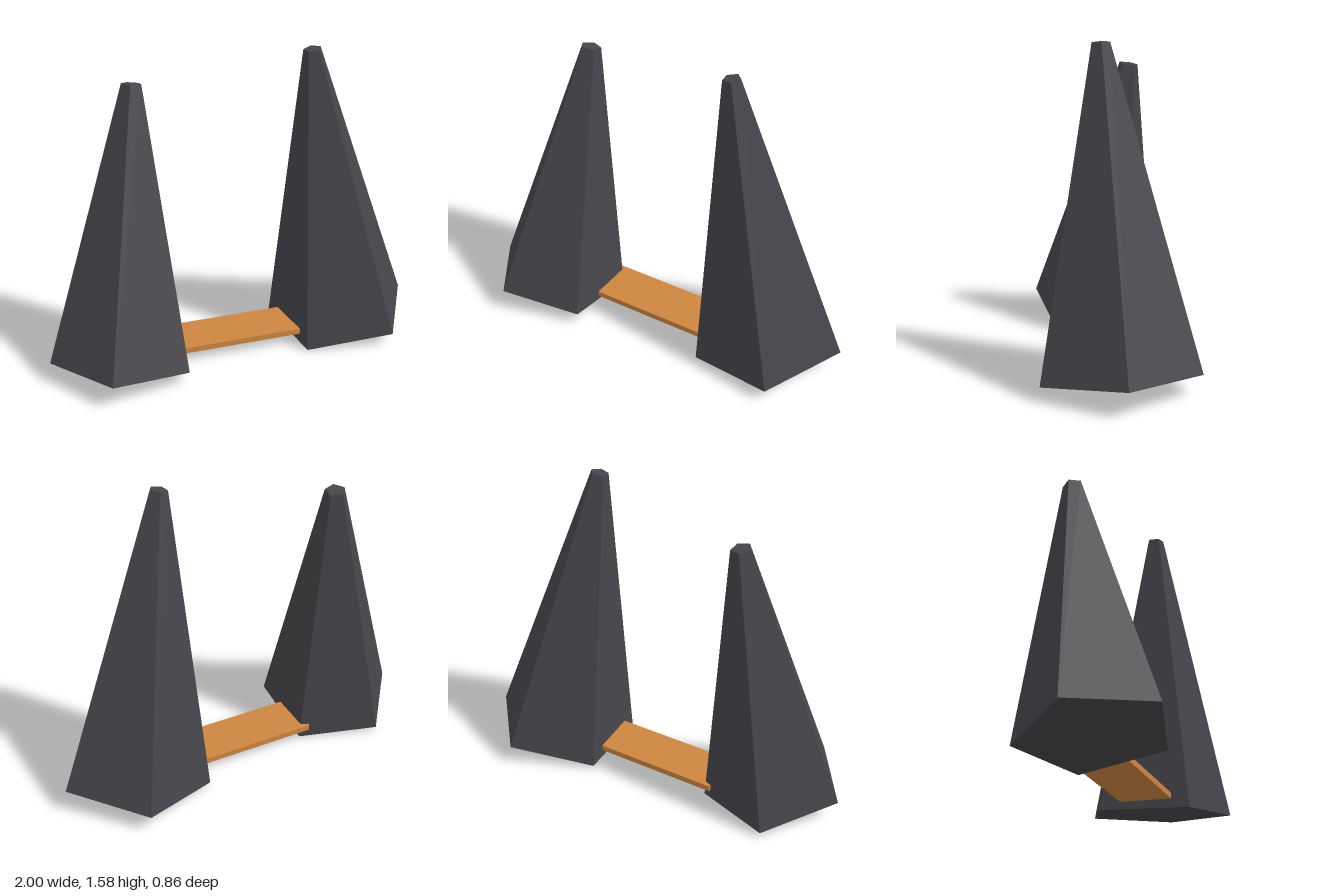
import * as THREE from 'three';

// Five-sided leaning spire: base corners (counter-clockwise from above) shrink towards the tip centre
function spireGeometry(corners, tip, scale) {
  const base = corners.map((c) => new THREE.Vector3(...c));
  const centre = new THREE.Vector3();
  base.forEach((p) => centre.addScaledVector(p, 1 / base.length));
  const top = base.map((p) => p.clone().sub(centre).multiplyScalar(scale).add(new THREE.Vector3(...tip)));
  const n = base.length;
  const points = [];
  for (let i = 0; i < n; i++) {
    const j = (i + 1) % n;
    points.push(base[i], base[j], top[j], base[i], top[j], top[i]); // side
  }
  for (let i = 1; i < n - 1; i++) {
    points.push(top[0], top[i], top[i + 1]); // tip cap
    points.push(base[0], base[i + 1], base[i]); // underside
  }
  const geometry = new THREE.BufferGeometry().setFromPoints(points);
  geometry.computeVertexNormals();
  return geometry;
}

export function createModel() {
  const model = new THREE.Group();
  model.name = 'twinSpires';

  const stone = new THREE.MeshStandardMaterial({ color: 0x46454b });
  stone.name = 'dark stone';
  stone.flatShading = true;
  const wood = new THREE.MeshStandardMaterial({ color: 0xcd853f });
  wood.name = 'warm wood';

  const add = (name, geometry, material) => {
    const mesh = new THREE.Mesh(geometry, material);
    mesh.name = name;
    model.add(mesh);
    return mesh;
  };

  // Taller spire on the left (+x)
  add('tallSpire', spireGeometry([
    [0.995, 0.127, -0.09], [0.685, 0.1, -0.432], [0.275, 0.02, -0.245],
    [0.325, 0.005, 0.212], [0.77, 0.07, 0.305],
  ], [0.377, 1.58, 0.036], 0.115), stone);

  // Shorter spire on the right (-x)
  add('shortSpire', spireGeometry([
    [-1, 0.103, 0.07], [-0.76, 0.127, 0.428], [-0.35, 0.066, 0.318],
    [-0.337, 0.003, -0.11], [-0.738, 0.027, -0.26],
  ], [-0.49, 1.448, -0.105], 0.14), stone);

  // Plank joining the two spires
  add('plank', new THREE.BoxGeometry(0.76, 0.03, 0.26), wood).position.set(0, 0.07, -0.01);

  return model;
}
